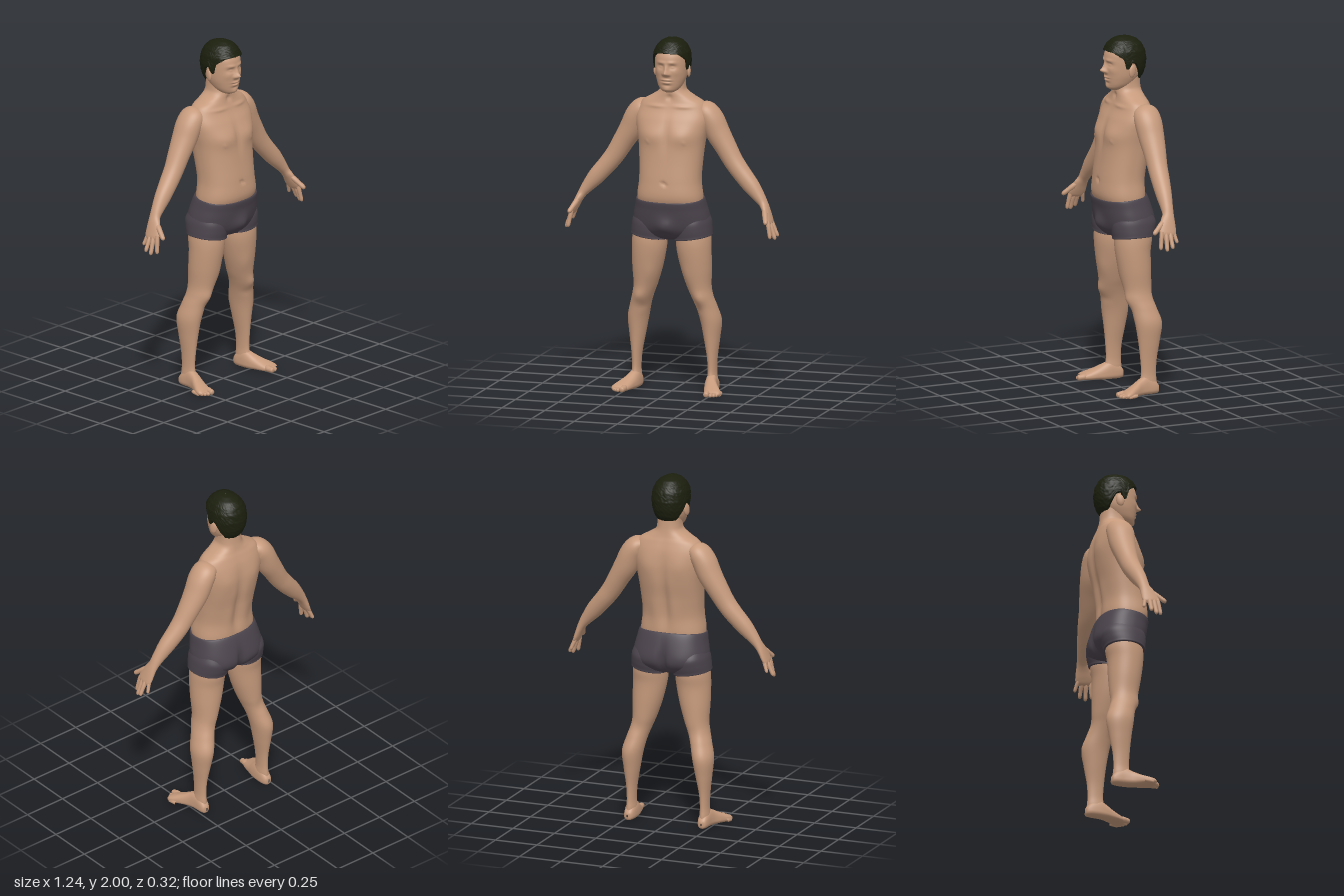
import * as THREE from 'three';

const skin = new THREE.MeshStandardMaterial({ color: 0xc69a7c });
const hairMat = new THREE.MeshStandardMaterial({ color: 0x1b1f0d });
const cloth = new THREE.MeshStandardMaterial({ color: 0x4b434c });
skin.name = 'skin'; hairMat.name = 'hair'; cloth.name = 'trunks cloth';

// Smooth interpolation through rows of numbers, s in 0..rows.length-1
function at(rows, s) {
  const n = rows.length - 1, i = Math.min(Math.floor(s), n - 1), f = s - i;
  const r = k => rows[Math.max(0, Math.min(n, k))];
  return rows[i].map((_, c) => {
    const a = r(i - 1)[c], b = r(i)[c], d = r(i + 1)[c], e = r(i + 2)[c];
    return b + 0.5 * f * (d - a + f * (2 * a - 5 * b + 4 * d - e + f * (3 * (b - d) + e - a)));
  });
}
// Row found by its first column, straight interpolation
function byKey(rows, key) {
  const up = rows[1][0] > rows[0][0] ? 1 : -1;
  let i = 0;
  while (i < rows.length - 2 && (key - rows[i + 1][0]) * up > 0) i++;
  const f = THREE.MathUtils.clamp((key - rows[i][0]) / (rows[i + 1][0] - rows[i][0]), 0, 1);
  return rows[i].map((v, c) => v + (rows[i + 1][c] - v) * f);
}
// Closed tube surface: point(u, angle) for u in 0..1
function skinGrid(point, rings, segs) {
  const pos = [], idx = [];
  for (let i = 0; i <= rings; i++)
    for (let j = 0; j < segs; j++) {
      const p = point(i / rings, (j / segs) * Math.PI * 2);
      pos.push(p.x, p.y, p.z);
      if (i === rings) continue;
      const a = i * segs + j, b = i * segs + (j + 1) % segs;
      idx.push(a, b, a + segs, b, b + segs, a + segs);
    }
  const g = new THREE.BufferGeometry();
  g.setAttribute('position', new THREE.Float32BufferAttribute(pos, 3));
  g.setIndex(idx);
  g.computeVertexNormals();
  return g;
}
const pw = (v, e) => Math.sign(v) * Math.pow(Math.abs(v), 2 / e);

// Rows [x, y, z, ra, rb+, rb-]; fixed direction, or following the path if none
function loft(rows, { dir, up = [0, 0, 1], segs = 32, rings = rows.length * 5, e = 2, bumps = [], tweak } = {}) {
  const n = rows.length - 1;
  return skinGrid((u, th) => {
    const r = at(rows, u * n), c = new THREE.Vector3(r[0], r[1], r[2]);
    const t = new THREE.Vector3();
    if (dir) t.set(...dir);
    else {
      const p = at(rows, Math.max(0, u * n - 0.3)), q = at(rows, Math.min(n, u * n + 0.3));
      t.set(q[0] - p[0], q[1] - p[1], q[2] - p[2]).normalize();
    }
    const a = new THREE.Vector3(...up).cross(t).normalize(), b = t.clone().cross(a);
    const s = Math.sin(th);
    c.addScaledVector(a, pw(Math.cos(th), e) * r[3]).addScaledVector(b, pw(s, e) * (s > 0 ? r[4] : r[5]));
    // soft bumps [x, y, spread x, spread y, height, front 1 / back -1], on both sides of x
    let dz = 0;
    for (const [x, y, sx, sy, h, side] of bumps)
      if (s * side > 0) dz += side * h * Math.min(1, s * side * 2) *
        Math.exp(-(((Math.abs(c.x) - x) / sx) ** 2) - ((c.y - y) / sy) ** 2);
    c.z += dz;
    if (tweak) tweak(c);
    return c;
  }, rings, segs);
}
// Upright body section rows [y, x0, x1, zFront, zBack], listed from the top down
const upright = (rows, opt) => loft(rows.map(([y, x0, x1, f, b]) =>
  [(x0 + x1) / 2, y, (f + b) / 2, (x1 - x0) / 2, (f - b) / 2, (f - b) / 2]), { dir: [0, -1, 0], ...opt });
const centred = (rows, opt) => upright(rows.map(([y, w, f, b]) => [y, -w, w, f, b]), opt);

// Rounded finger or toe
function digit(a, b, r) {
  const row = (f, k) => [0, 1, 2].map(i => a[i] + (b[i] - a[i]) * f).concat([r * k, r * k, r * k]);
  return loft([row(0, 0.9), row(0.3, 1.05), row(0.6, 0.95), row(0.85, 0.9), row(0.96, 0.6), row(1, 0.05)],
    { segs: 12, rings: 18, up: Math.abs(b[2] - a[2]) > Math.abs(b[1] - a[1]) ? [0, 1, 0] : [0, 0, 1] });
}
function mirrored(g) {
  const m = g.clone().scale(-1, 1, 1), ix = m.index.array;
  for (let i = 0; i < ix.length; i += 3) [ix[i], ix[i + 1]] = [ix[i + 1], ix[i]];
  m.computeVertexNormals();
  return m;
}

export function createModel() {
  const model = new THREE.Group();
  model.name = 'standing man';
  const add = (name, g, mat) => {
    const m = new THREE.Mesh(g, mat);
    m.name = name;
    model.add(m);
  };
  const pair = (name, g, mat) => {
    add('left ' + name, g, mat);
    add('right ' + name, mirrored(g), mat);
  };

  // Neck, shoulders, chest and belly
  add('torso', centred([
    [1.80, .068, .02, -.10], [1.73, .068, .033, -.105], [1.695, .08, .04, -.11], [1.665, .125, .042, -.117],
    [1.635, .175, .048, -.128], [1.59, .2, .065, -.142], [1.54, .208, .09, -.15], [1.48, .2, .11, -.153],
    [1.40, .186, .123, -.147], [1.30, .178, .134, -.125], [1.20, .175, .146, -.108], [1.11, .185, .15, -.11],
    [1.04, .18, .12, -.10]
  ], { segs: 96, rings: 110, e: 2.35, bumps: [
    [.09, 1.455, .07, .05, .014, 1], [0, 1.46, .02, .09, -.008, 1], [0, 1.195, .011, .01, -.014, 1],
    [.105, 1.425, .009, .009, .004, 1], [.08, 1.617, .05, .01, .006, 1], [0, 1.665, .014, .018, -.01, 1],
    [0, 1.33, .026, .2, -.018, -1], [.095, 1.5, .05, .07, .008, -1], [.06, 1.22, .035, .1, .008, -1]
  ] }), skin);

  // Head with face modelled by bumps
  add('head', centred([
    [1.975, .02, .01, -.05], [1.95, .065, .065, -.09], [1.91, .087, .092, -.115], [1.87, .09, .1, -.12],
    [1.83, .089, .1, -.117], [1.79, .085, .098, -.107], [1.76, .077, .095, -.088], [1.73, .064, .09, -.055],
    [1.71, .046, .082, -.02], [1.697, .02, .06, .01]
  ], { segs: 112, rings: 100, e: 2.2, bumps: [
    [0, 1.812, .015, .014, .028, 1], [0, 1.835, .011, .022, .014, 1], [.016, 1.806, .009, .009, .008, 1],
    [.034, 1.848, .02, .013, -.012, 1], [.034, 1.846, .012, .007, .006, 1], [.03, 1.872, .026, .009, .005, 1],
    [0, 1.774, .024, .006, .008, 1], [0, 1.757, .02, .006, .007, 1], [0, 1.766, .028, .003, -.004, 1],
    [0, 1.742, .025, .007, -.004, 1], [0, 1.718, .022, .013, .006, 1], [.055, 1.815, .02, .02, .004, 1]
  ] }), skin);

  // Ears
  const ear = new THREE.SphereGeometry(1, 20, 14).scale(.011, .036, .023).rotateX(-.2).rotateY(.3);
  ear.translate(.094, 1.812, -.022);
  pair('ear', ear, skin);

  // Short hair cap with a shaped hairline
  const cap = [[2, .002, -.005, -.015], [1.995, .03, .03, -.05], [1.98, .06, .06, -.088], [1.955, .083, .085, -.114],
    [1.92, .1, .103, -.132], [1.87, .104, .106, -.141], [1.82, .099, .1, -.136], [1.78, .088, .092, -.122], [1.75, .074, .085, -.102]];
  const line = [[-1, 1.752], [-.7, 1.757], [-.45, 1.80], [-.2, 1.85], [0, 1.858], [.1, 1.825], [.25, 1.82],
    [.36, 1.88], [.6, 1.9], [.8, 1.918], [1, 1.922]];
  add('hair', skinGrid((u, th) => {
    const s = Math.sin(th), v = Math.min(1, u / 0.97);
    const y = 2 - (2 - byKey(line, s)[1]) * Math.pow(v, 1.6);
    const [, w, f, b] = byKey(cap, y);
    const h = Math.sin(u * 917.3 + th * 411.7) * 4375.5;
    const k = (u > 0.97 ? 0.84 : 1) + (h - Math.floor(h) - 0.5) * 0.035 * Math.min(1, u * 3);
    return new THREE.Vector3(pw(Math.cos(th), 2.15) * w * k, y, (f + b) / 2 + pw(s, 2.15) * (f - b) / 2 * k);
  }, 50, 96), hairMat);

  // Arms running into the palms
  pair('arm', loft([
    [.14, 1.6, -.055, .03, .05], [.18, 1.585, -.058, .058, .073], [.215, 1.54, -.06, .067, .078],
    [.25, 1.465, -.062, .067, .073], [.295, 1.39, -.06, .06, .064], [.34, 1.315, -.055, .055, .056],
    [.385, 1.255, -.05, .052, .052], [.45, 1.18, -.04, .047, .044], [.5, 1.12, -.033, .034, .035],
    [.527, 1.083, -.028, .025, .033], [.545, 1.05, -.018, .021, .042], [.562, 1.01, -.008, .018, .05],
    [.574, .982, -.004, .014, .047], [.58, .968, -.003, .003, .03]
  ].map(r => [...r, r[4]]), { segs: 40, rings: 90 }), skin);

  // Fingers and thumb
  [['index finger', [.57, 1, .032], [.588, .9, .047], .012], ['middle finger', [.572, .995, .008], [.608, .892, .016], .0125],
    ['ring finger', [.572, .995, -.016], [.615, .905, -.016], .012], ['little finger', [.565, 1, -.038], [.592, .93, -.054], .0105],
    ['thumb', [.542, 1.055, .004], [.574, .988, .084], .0145]]
    .forEach(([name, a, b, r]) => pair(name, digit(a, b, r), skin));

  // Legs
  pair('leg', upright([
    [.95, .03, .215, .085, -.115], [.87, .029, .225, .097, -.116], [.8, .034, .227, .095, -.106], [.7, .056, .227, .08, -.105],
    [.6, .088, .223, .06, -.103], [.54, .112, .232, .05, -.106], [.48, .133, .25, .03, -.12], [.4, .153, .269, .015, -.142],
    [.3, .172, .26, 0, -.127], [.2, .19, .248, -.01, -.109], [.12, .196, .244, -.014, -.104], [.07, .193, .248, -.005, -.108],
    [.03, .195, .246, -.01, -.11]
  ], { segs: 40, rings: 80, bumps: [[.175, .53, .03, .035, .008, 1], [.16, .47, .025, .02, -.004, 1],
    [.1, .66, .03, .06, .006, 1], [.17, .54, .03, .05, -.006, -1]] }), skin);

  // Feet: rows from heel to ball, flat on the ground
  pair('foot', loft([
    [.222, .03, -.12, .004, .01, .01], [.222, .03, -.112, .022, .025, .026], [.221, .03, -.085, .031, .055, .03],
    [.222, .03, -.04, .034, .075, .03], [.229, .028, 0, .037, .062, .028], [.245, .025, .04, .043, .043, .025],
    [.262, .02, .08, .049, .03, .02], [.27, .018, .108, .046, .02, .017], [.272, .017, .122, .034, .01, .01]
  ], { dir: [0, 0, 1], up: [0, 1, 0], segs: 36, e: 2.4 }), skin);
  [[.246, .152, .017], [.27, .147, .0115], [.285, .137, .011], [.298, .123, .0105], [.309, .106, .01]]
    .forEach(([x, z, r], i) => pair('toe ' + (i + 1), digit([x - .006, r + .006, z - .055], [x, r, z], r), skin));

  // Swimming trunks: hips, then one short sleeve for each thigh
  add('trunks', centred([
    [1.097, .18, .14, -.108], [1.1, .192, .155, -.12], [1.05, .203, .148, -.142], [1, .214, .14, -.155],
    [.95, .219, .128, -.157], [.915, .205, .113, -.142], [.885, .13, .09, -.11], [.865, .04, .05, -.06]
  ], { segs: 96, rings: 60, e: 2.35,
    bumps: [[0, .945, .05, .05, .028, 1], [0, .94, .02, .08, -.03, -1], [.1, .965, .07, .05, .006, -1]],
    tweak: p => { p.y -= .09 * p.z * THREE.MathUtils.smoothstep(p.y, 1, 1.1); }
  }), cloth);
  pair('trunk leg', upright([
    [1, .03, .208, .1, -.125], [.96, .024, .222, .112, -.142], [.92, .022, .228, .112, -.137],
    [.89, .022, .231, .108, -.128], [.876, .022, .231, .106, -.124], [.877, .04, .215, .085, -.105]
  ], { segs: 48, e: 2.1, tweak: p => { p.y += .15 * (p.x - .128); } }), cloth);

  return model;
}
